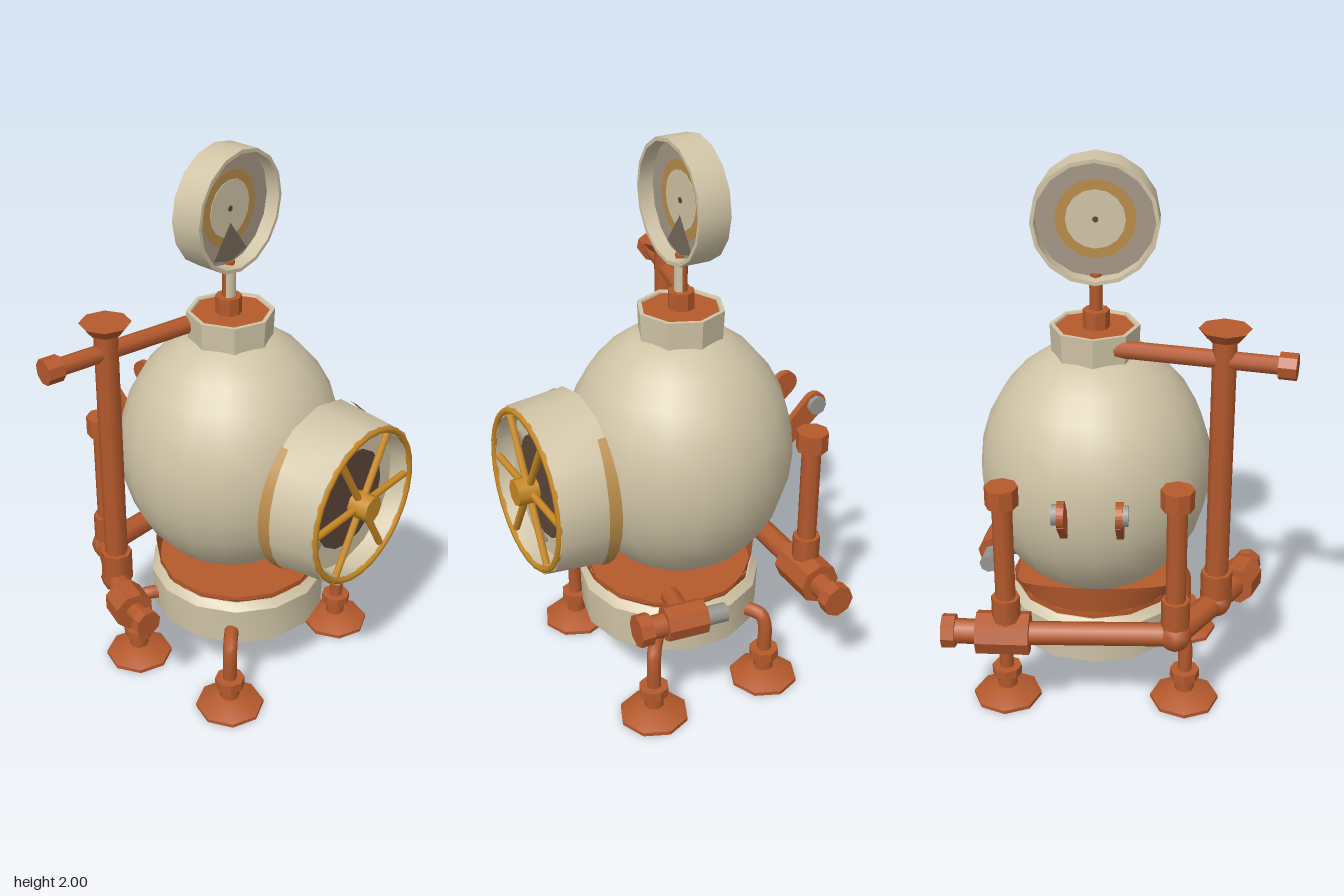
import * as THREE from 'three';
import { toCreasedNormals } from 'three/addons/utils/BufferGeometryUtils.js';

const mat = (name, color, side = THREE.FrontSide) => {
  const m = new THREE.MeshStandardMaterial({ color, side });
  m.name = name;
  return m;
};

export function createModel() {
  const root = new THREE.Group();
  root.name = 'divingPod';
  const cream = mat('cream', 0xd0c4a6, THREE.DoubleSide);
  const rust = mat('rustOrange', 0xb4592c, THREE.DoubleSide);
  const gold = mat('gold', 0xc98a24);
  const tan = mat('tan', 0xb88c4a, THREE.DoubleSide);
  const brown = mat('darkBrown', 0x5e4638);
  const taupe = mat('taupe', 0xa49785);
  const shade = mat('darkTaupe', 0x75685a, THREE.DoubleSide);
  const steel = mat('steelGrey', 0x97958e);

  const CX = 0.075, CZ = -0.035;
  const V = (x, y, z) => new THREE.Vector3(x, y, z);

  const add = (name, geo, material, pos = [0, 0, 0], parent = root) => {
    const m = new THREE.Mesh(geo, material);
    m.name = name;
    m.position.set(...pos);
    parent.add(m);
    return m;
  };
  // Round bar between two points; crisp bars get faceted sides
  const bar = (name, a, b, r, material = rust, { r2 = r, sides = 8, crisp = false, parent = root } = {}) => {
    const dir = b.clone().sub(a);
    let geo = new THREE.CylinderGeometry(r2, r, dir.length(), sides);
    if (crisp) geo = toCreasedNormals(geo, 0.6);
    const m = add(name, geo, material, a.clone().add(b).multiplyScalar(0.5).toArray(), parent);
    m.quaternion.setFromUnitVectors(V(0, 1, 0), dir.normalize());
    return m;
  };
  const post = (name, x, z, y0, y1, r, material = rust, opt = {}) =>
    bar(name, V(x, y0, z), V(x, y1, z), r, material, opt);
  const lathe = (pts, n) =>
    toCreasedNormals(new THREE.LatheGeometry(pts.map(p => new THREE.Vector2(...p)), n), 0.6);

  // Main egg-shaped hull
  add('hull', new THREE.SphereGeometry(1, 20, 14), cream, [CX, 0.88, CZ]).scale.set(0.41, 0.47, 0.405);

  // Base drum, deck and collar that rises towards the back
  add('baseDrum', lathe([[0, 0.225], [0.325, 0.225], [0.33, 0.37], [0.305, 0.395], [0, 0.395]], 14), cream, [CX, 0, 0]);
  post('baseUnderside', CX, 0, 0.221, 0.226, 0.3, tan, { sides: 14 });
  post('deck', CX, 0, 0.39, 0.415, 0.3, rust, { sides: 14 });
  const collar = new THREE.CylinderGeometry(0.31, 0.29, 0.1, 24, 1, true);
  const cp = collar.attributes.position;
  for (let i = 0; i < cp.count; i++) {
    cp.setY(i, cp.getY(i) < 0 ? 0.39 : 0.41 + Math.max(0, -cp.getZ(i) - 0.08) * 0.5);
  }
  collar.computeVertexNormals();
  add('collar', collar, rust, [CX, 0, 0]);

  // Neck and mast
  add('neck', lathe([[0.15, 1.3], [0.155, 1.415], [0.14, 1.415], [0.135, 1.4]], 8), cream, [CX, 0, -0.04]);
  post('neckPlate', CX, -0.04, 1.38, 1.408, 0.14);
  post('mastSocket', 0.07, -0.045, 1.4, 1.47, 0.047, rust, { crisp: true });
  post('mast', 0.07, -0.045, 1.46, 1.6, 0.022);
  add('mastFrontFace', new THREE.CylinderGeometry(0.025, 0.025, 0.11, 6, 1, true, -Math.PI / 2.6, Math.PI / 1.3),
    cream, [0.07, 1.525, -0.045]);

  // Round lamp dish, recessed on both faces
  const dish = new THREE.Group();
  dish.name = 'dish';
  dish.position.set(0.07, 1.787, -0.048);
  root.add(dish);
  const rim = lathe([[0.2, -0.058], [0.213, -0.058], [0.213, 0.058], [0.2, 0.058], [0.2, -0.058]], 16);
  add('dishRim', rim.rotateX(Math.PI / 2), cream, [0, 0, 0], dish);
  [['dishFace', 0.203, 0.01, taupe], ['dishRing', 0.135, 0.014, tan], ['dishCentre', 0.1, 0.018, cream],
    ['dishPin', 0.01, 0.024, brown]].forEach(([n, r, d, m]) =>
    bar(n, V(0, 0, -d / 2), V(0, 0, d / 2), r, m, { sides: 16, parent: dish }));
  const wedge = new THREE.Shape([[0, -0.05], [-0.085, -0.165], [0, -0.19], [0.085, -0.165]].map(p => new THREE.Vector2(...p)));
  add('dishWedge', new THREE.ShapeGeometry(wedge), shade, [0, 0, 0.011], dish);

  // Porthole housing facing the front
  const port = new THREE.Group();
  port.name = 'porthole';
  port.position.set(CX, 0.857, 0);
  root.add(port);
  const shell = lathe([[0, 0.345], [0.315, 0.345], [0.296, 0.555], [0.268, 0.555], [0.26, 0.49], [0, 0.49]], 14);
  add('portHousing', shell.rotateX(Math.PI / 2), cream, [0, 0, 0], port);
  bar('portGlass', V(0, 0, 0.488), V(0, 0, 0.496), 0.185, brown, { sides: 16, parent: port });
  add('portTrim', new THREE.TorusGeometry(0.278, 0.013, 6, 28), gold, [0, 0, 0.553], port);
  for (let i = 0; i < 6; i++) {
    const a = i * Math.PI / 3, f = a + Math.PI / 6;
    bar('spoke', V(0, 0, 0.545), V(Math.cos(a) * 0.275, Math.sin(a) * 0.275, 0.545), 0.013, gold, { parent: port });
    const fx = Math.cos(f) * 0.205, fy = Math.sin(f) * 0.205;
    bar('rivet', V(fx, fy, 0.488), V(fx, fy, 0.497), 0.02, taupe, { parent: port });
  }
  bar('hub', V(0, 0, 0.52), V(0, 0, 0.595), 0.048, gold, { parent: port });
  // Worn bands at both sides of the housing's rear edge
  for (const s of [-1, 1]) {
    const band = new THREE.CylinderGeometry(0.314, 0.318, 0.04, 8, 1, true, s * Math.PI / 2 - 0.9, 1.8);
    const bp = band.attributes.position;
    for (let i = 0; i < bp.count; i++) {
      if (bp.getY(i) > 0) bp.setY(i, -0.02 + 0.045 * Math.abs(bp.getX(i)) / 0.314);
    }
    add('wornBand', band.rotateX(Math.PI / 2), tan, [0, 0, 0.366], port);
  }

  // Four legs with elbows and wide feet
  for (const x of [-0.255, 0.4]) for (const z of [0.237, -0.222]) {
    const leg = new THREE.Group();
    leg.name = 'leg';
    root.add(leg);
    const o = { parent: leg };
    const foot = lathe([[0, 0], [0.125, 0], [0.125, 0.014], [0.05, 0.048], [0, 0.05]], 8);
    add('foot', foot, rust, [x, 0, z], leg);
    post('footNeck', x, z, 0.04, 0.1, 0.036, rust, o);
    post('legCollar', x, z, 0.098, 0.132, 0.054, rust, { ...o, crisp: true });
    const ix = CX + (x - CX) * 0.72, iz = z * 0.72;
    const path = new THREE.CatmullRomCurve3([V(x, 0.12, z), V(x, 0.23, z),
      V(CX + (x - CX) * 0.97, 0.268, z * 0.97), V(CX + (x - CX) * 0.9, 0.28, z * 0.9), V(ix, 0.28, iz)]);
    add('legPipe', new THREE.TubeGeometry(path, 14, 0.026, 8), rust, [0, 0, 0], leg);
  }

  // Lower pipe run around the back and side
  const corner = V(-0.215, 0.41, -0.41), side = V(-0.36, 0.43, -0.22), elbow = V(-0.45, 0.43, -0.075);
  bar('rearPipe', corner, V(0.32, 0.4, -0.405), 0.042);
  bar('cornerPipe', corner, side, 0.044);
  bar('sidePipe', side, elbow, 0.044);
  add('cornerJoint', new THREE.SphereGeometry(0.06, 8, 6), rust, corner.toArray());
  add('sideJoint', new THREE.SphereGeometry(0.058, 8, 6), rust, side.toArray());
  bar('sideSleeve', V(-0.43, 0.43, -0.12), V(-0.47, 0.43, -0.025), 0.072, rust, { crisp: true });
  bar('sideStub', elbow, V(-0.482, 0.43, 0.03), 0.038);
  bar('sideCap', V(-0.48, 0.43, 0.025), V(-0.488, 0.43, 0.06), 0.05, rust, { crisp: true });
  bar('rearSleeve', V(0.29, 0.4, -0.405), V(0.475, 0.4, -0.403), 0.077, rust, { crisp: true });
  bar('rearStub', V(0.47, 0.4, -0.403), V(0.56, 0.4, -0.4), 0.045);
  bar('rearCap', V(0.55, 0.4, -0.4), V(0.597, 0.4, -0.4), 0.06, rust, { crisp: true });

  // Short valve pipe beside the base
  bar('valveRod', V(0.485, 0.425, 0), V(0.475, 0.425, 0.1), 0.034, steel);
  bar('valveSleeve', V(0.472, 0.43, 0.08), V(0.455, 0.43, 0.225), 0.062, rust, { crisp: true });
  bar('valveStub', V(0.455, 0.43, 0.22), V(0.45, 0.43, 0.29), 0.042);
  bar('valveCap', V(0.45, 0.43, 0.28), V(0.447, 0.43, 0.328), 0.058, rust, { crisp: true });
  bar('valveBracket', V(0.3, 0.42, 0.12), V(0.46, 0.43, 0.15), 0.035);

  // Two short standpipes at the back
  for (const x of [-0.215, 0.37]) {
    post('standpipe', x, -0.405, 0.42, 0.93, 0.035);
    post('standpipeCollar', x, -0.405, 0.44, 0.55, 0.05);
    post('standpipeCap', x, -0.405, 0.91, 0.98, 0.057, rust, { crisp: true });
  }

  // Tall pipe with the cross arm into the neck
  post('tallPipe', -0.36, -0.215, 0.44, 1.45, 0.041);
  post('tallPipeCollar', -0.36, -0.215, 0.43, 0.55, 0.056);
  post('tallPipeCap', -0.36, -0.215, 1.44, 1.475, 0.06, rust, { r2: 0.088, crisp: true });
  bar('crossArm', V(-0.56, 1.365, -0.262), V(0.03, 1.365, -0.13), 0.031);
  bar('crossArmCap', V(-0.596, 1.365, -0.27), V(-0.538, 1.365, -0.257), 0.046, rust, { crisp: true });

  // Pair of lifting lugs on the back
  const lug = new THREE.Shape();
  lug.moveTo(0.37, 0.8);
  lug.lineTo(0.44, 0.805);
  lug.lineTo(0.58, 0.924);
  lug.absarc(0.548, 0.957, 0.045, -0.8, 2.3, false);
  lug.lineTo(0.43, 0.9);
  lug.lineTo(0.37, 0.9);
  const lugGeo = new THREE.ExtrudeGeometry(lug, { depth: 0.024, bevelEnabled: false, curveSegments: 6 });
  lugGeo.rotateY(Math.PI / 2);
  for (const [x, s] of [[-0.027, -1], [0.162, 1]]) {
    add('lug', lugGeo, rust, [x - 0.012, 0, 0]);
    bar('lugBolt', V(x + s * 0.01, 0.957, -0.548), V(x + s * 0.03, 0.957, -0.548), 0.036, steel);
  }
  return root;
}
